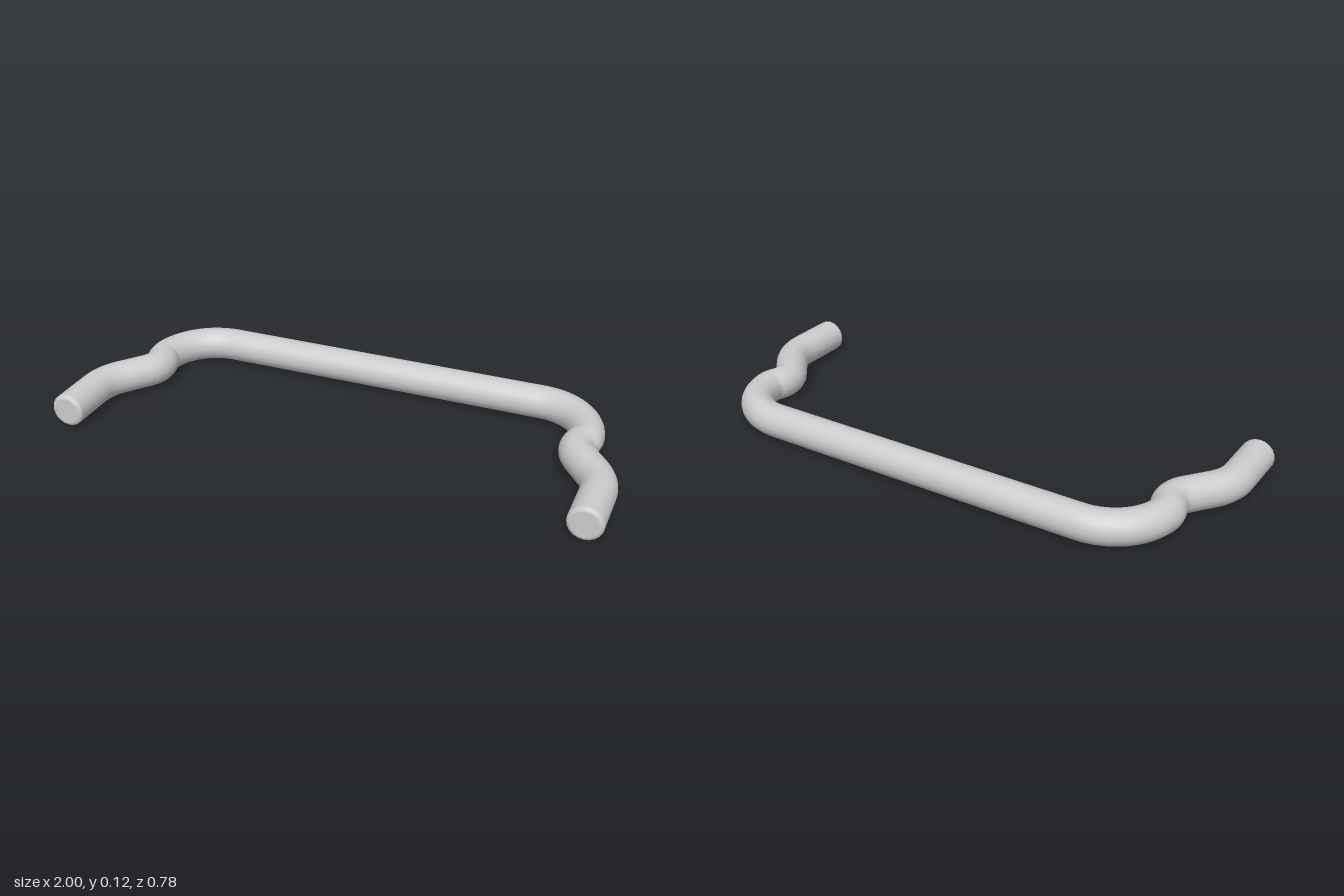
import * as THREE from 'three';

const R = 0.061, Y = 0.063, END = 0.373;

export function createModel() {
  const group = new THREE.Group();
  const mat = new THREE.MeshStandardMaterial({ color: 0xcccccc });
  const p = (x, z) => new THREE.Vector3(x, Y, z);

  // one half of the centre line, from the grip end to the start of the crossbar
  const half = (s) => {
    const line = (a, b) => new THREE.LineCurve3(p(s * a[0], a[1]), p(s * b[0], b[1]));
    const bend = (a, b, c) => new THREE.QuadraticBezierCurve3(p(s * a[0], a[1]), p(s * b[0], b[1]), p(s * c[0], c[1]));
    const k = 0.21 * 0.5523;
    return [
      line([0.939, END], [0.939, 0.2]),
      bend([0.939, 0.2], [0.939, 0.135], [0.9, 0.083]),
      line([0.9, 0.083], [0.838, 0.004]),
      bend([0.838, 0.004], [0.798, -0.045], [0.822, -0.1]),
      line([0.822, -0.1], [0.83, -0.12]),
      new THREE.CubicBezierCurve3(p(s * 0.83, -0.12), p(s * 0.83, -0.12 - k), p(s * (0.62 + k), -0.33), p(s * 0.62, -0.33)),
    ];
  };
  const flip = (c) => {
    const r = c.clone();
    if (r.v3) { [r.v0, r.v3] = [r.v3, r.v0]; [r.v1, r.v2] = [r.v2, r.v1]; }
    else if (r.v0) [r.v0, r.v2] = [r.v2, r.v0];
    else [r.v1, r.v2] = [r.v2, r.v1];
    return r;
  };

  // bent handle tube
  const path = new THREE.CurvePath();
  half(1).forEach((c) => path.add(c));
  path.add(new THREE.LineCurve3(p(0.62, -0.33), p(-0.62, -0.33)));
  half(-1).reverse().forEach((c) => path.add(flip(c)));
  path.arcLengthDivisions = 600;
  const tube = new THREE.Mesh(new THREE.TubeGeometry(path, 180, R, 20, false), mat);
  tube.name = 'bentTube';
  group.add(tube);

  // softly rounded end caps
  const profile = [[R, 0], [R - 0.001, 0.005], [R - 0.005, 0.01], [R - 0.012, 0.013], [R - 0.014, 0.013], [0, 0.013]]
    .map(([x, y]) => new THREE.Vector2(x, y));
  const capGeo = new THREE.LatheGeometry(profile, 20).rotateX(Math.PI / 2);
  for (const s of [1, -1]) {
    const cap = new THREE.Mesh(capGeo, mat);
    cap.position.set(s * 0.939, Y, END);
    cap.name = s > 0 ? 'leftEndCap' : 'rightEndCap';
    group.add(cap);
  }
  return group;
}
